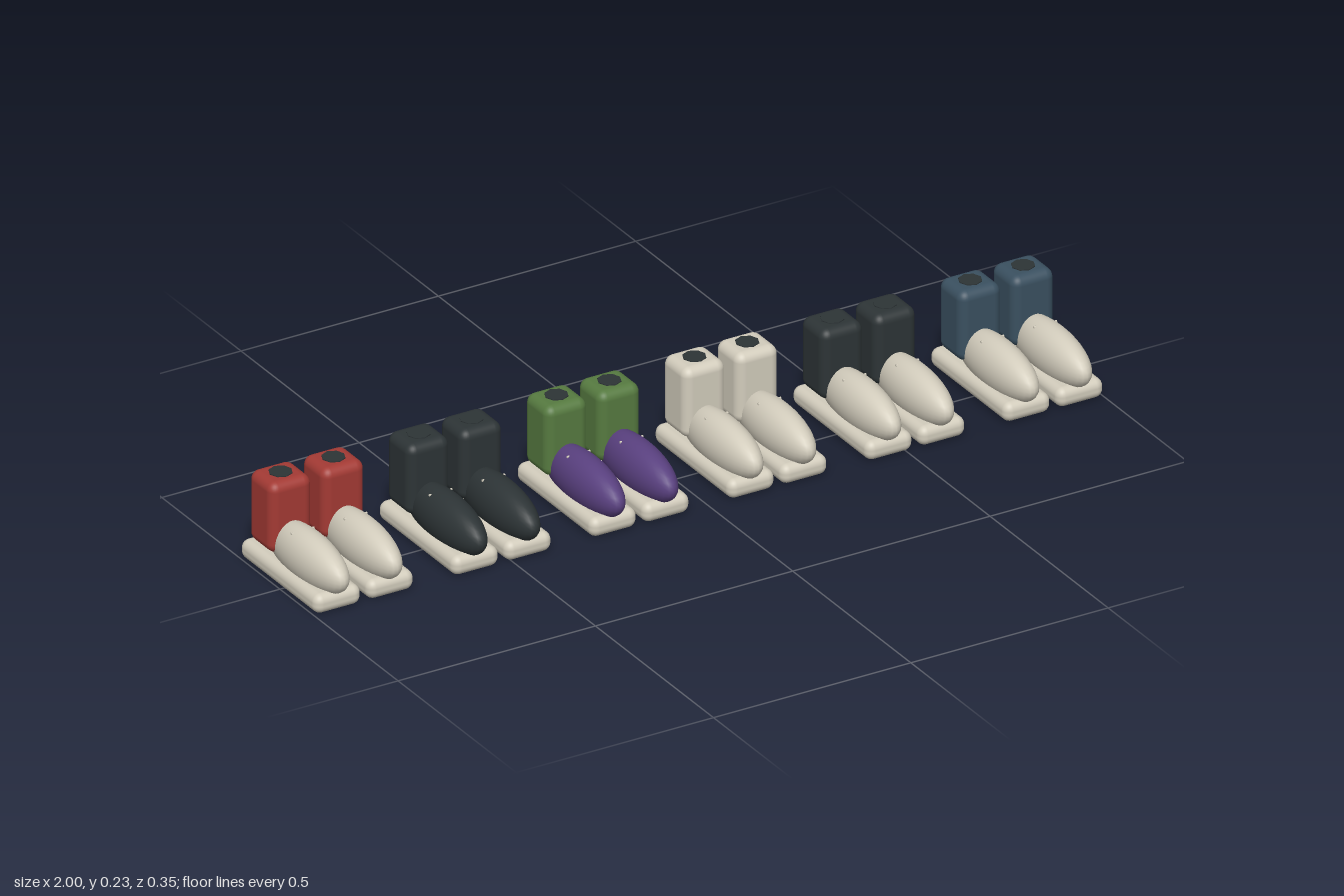
import * as THREE from 'three';
import { RoundedBoxGeometry } from 'three/addons/geometries/RoundedBoxGeometry.js';

const material = (name, color) => {
  const m = new THREE.MeshStandardMaterial({ color });
  m.name = name;
  return m;
};

export function createModel() {
  const cream = material('cream', 0xd2ccbc);
  const charcoal = material('charcoal', 0x2d3436);
  const red = material('red', 0xa33a34);
  const green = material('green', 0x567a40);
  const purple = material('purple', 0x59407f);
  const blue = material('blue', 0x3a5060);

  // Shared shapes for every shoe
  const soleGeo = new RoundedBoxGeometry(0.118, 0.047, 0.33, 4, 0.02);
  const upperGeo = new THREE.SphereGeometry(1, 32, 20).scale(0.048, 0.062, 0.155);
  const shaftGeo = new RoundedBoxGeometry(0.107, 0.172, 0.101, 4, 0.022);
  const openingGeo = new THREE.CylinderGeometry(0.027, 0.027, 0.003, 8);
  const barGeo = new THREE.CylinderGeometry(0.003, 0.003, 0.058, 8).rotateZ(Math.PI / 2);

  const add = (parent, name, geometry, mat, y, z) => {
    const mesh = new THREE.Mesh(geometry, mat);
    mesh.name = name;
    mesh.position.set(0, y, z);
    parent.add(mesh);
  };

  const makeShoe = (name, shaftMat, upperMat) => {
    const shoe = new THREE.Group();
    shoe.name = name;
    add(shoe, 'sole', soleGeo, cream, 0.0245, -0.011);
    add(shoe, 'upper', upperGeo, upperMat, 0.077, 0.022);
    add(shoe, 'shaft', shaftGeo, shaftMat, 0.144, -0.0965);
    add(shoe, 'ankleOpening', openingGeo, charcoal, 0.2305, -0.0965);
    add(shoe, 'laceBar', barGeo, cream, 0.127, -0.003);
    return shoe;
  };

  // Six pairs in a row: [shaft, upper]
  const pairs = [
    [red, cream], [charcoal, charcoal], [green, purple],
    [cream, cream], [charcoal, cream], [blue, cream],
  ];
  const model = new THREE.Group();
  model.name = 'shoeRow';
  pairs.forEach(([shaftMat, upperMat], i) => {
    const pair = new THREE.Group();
    pair.name = `shoePair${i + 1}`;
    pair.position.x = (i - 2.5) * 0.3495;
    for (const side of [-1, 1]) {
      const shoe = makeShoe(side < 0 ? 'rightShoe' : 'leftShoe', shaftMat, upperMat);
      shoe.position.x = side * 0.067;
      pair.add(shoe);
    }
    model.add(pair);
  });
  return model;
}
